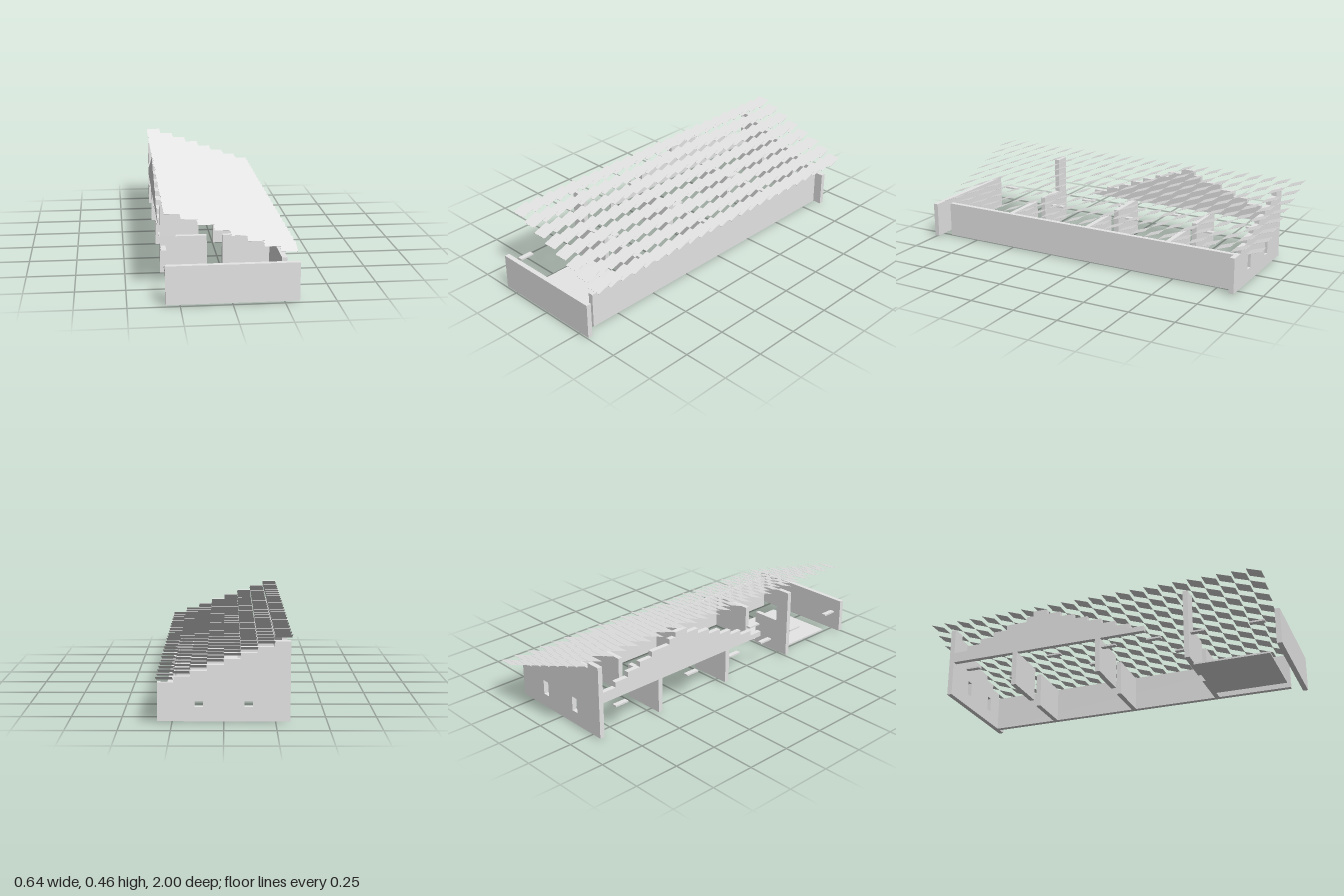
import * as THREE from 'three';

export function createModel() {
  const model = new THREE.Group();
  model.name = 'longHouse';
  const grey = new THREE.MeshStandardMaterial({ color: 0xe6e6e6, side: THREE.DoubleSide });
  grey.name = 'pale grey';

  const add = (geometry, name) => {
    const mesh = new THREE.Mesh(geometry, grey);
    mesh.name = name;
    model.add(mesh);
    return mesh;
  };
  const box = (name, x0, x1, y0, y1, z0, z1) => {
    const mesh = add(new THREE.BoxGeometry(x1 - x0, y1 - y0, z1 - z0), name);
    mesh.position.set((x0 + x1) / 2, (y0 + y1) / 2, (z0 + z1) / 2);
  };

  const T = 0.0267;           // wall thickness
  const BASE = 0.009;         // underside of the walls
  const CELL = 0.08;          // roof module
  const RISE = 0.0287;        // height of one roof step
  const stepY = (i) => 0.2 + i * RISE;

  // Low walls and floor slab; the long wall sits inside the eaves
  box('frontWall', -0.32, 0.32, BASE, 0.2, 1 - T, 1);
  box('longSideWall', 0.27 - T, 0.27, BASE, 0.2, -0.84, 0.92);
  box('floorSlab', -0.24, 0.16, 0, BASE, 0.52, 0.92);

  // Back wall with stepped top and two windows
  const back = new THREE.Shape();
  back.moveTo(0.32, BASE);
  for (let i = 0; i < 8; i++) {
    back.lineTo(0.32 - i * CELL, stepY(i));
    back.lineTo(0.32 - (i + 1) * CELL, stepY(i));
  }
  back.lineTo(-0.32, BASE);
  for (const x of [-0.12, 0.12]) {
    const hole = new THREE.Path();
    hole.moveTo(x - 0.02, 0.08);
    hole.lineTo(x - 0.02, 0.16);
    hole.lineTo(x + 0.02, 0.16);
    hole.lineTo(x + 0.02, 0.08);
    hole.closePath();
    back.holes.push(hole);
  }
  const extrude = { depth: T, bevelEnabled: false };
  add(new THREE.ExtrudeGeometry(back, extrude), 'backWall').position.z = -0.84 - T;

  // Stepped upper side wall, shape x runs along -z
  const side = new THREE.Shape();
  side.moveTo(-0.28, 0.2);
  for (let i = 1; i <= 8; i++) {
    const s = -0.28 + (i - 1) * CELL;
    side.lineTo(s, stepY(i));
    side.lineTo(s + CELL, stepY(i));
  }
  let start = 0.36;
  [0.4, 0.52, 0.6, 0.68, 0.76, 0.84].forEach((end, i) => {
    side.lineTo(start, stepY(7 - i));
    side.lineTo(end, stepY(7 - i));
    start = end;
  });
  side.lineTo(0.84, 0.2);
  const sideWall = add(new THREE.ExtrudeGeometry(side, extrude), 'steppedSideWall');
  sideWall.rotation.y = Math.PI / 2;
  sideWall.position.x = -0.32;

  // Small flat shelf, long side along z
  const shelf = (name, x, z) =>
    box(name, x - T / 2, x + T / 2, 0.145, 0.145 + BASE, z - 0.04, z + 0.04);

  // Cross partitions with a door gap, and a shelf beside each door
  for (const z of [0.51, 0.02, -0.465]) {
    box('outerPartition', -0.32, -0.08, BASE, 0.2, z - T / 2, z + T / 2);
    box('innerPartition', 0, 0.27 - T, BASE, 0.2, z - T / 2, z + T / 2);
    shelf('doorShelf', -0.122, z - 0.08);
  }
  box('partitionPost', -0.32, -0.24, 0.2, 0.392, 0.51 - T / 2, 0.51 + T / 2);

  // Shelves along the open side
  for (const z of [0.88, 0.57, 0.33, 0.08, -0.235, -0.72]) shelf('sideShelf', -0.305, z);

  // Roof of separate thin tilted tiles, stepping down towards +x
  const tile = new THREE.BoxGeometry(CELL, 0.001, Math.hypot(CELL, RISE));
  tile.rotateX(Math.atan2(RISE, CELL));
  for (let c = 0; c < 8; c++)
    for (let r = 0; r < 24; r++)
      add(tile, 'roofTile').position.set(
        -0.28 + c * CELL, stepY(8 - c) + RISE / 2, -0.96 + r * CELL);

  return model;
}
